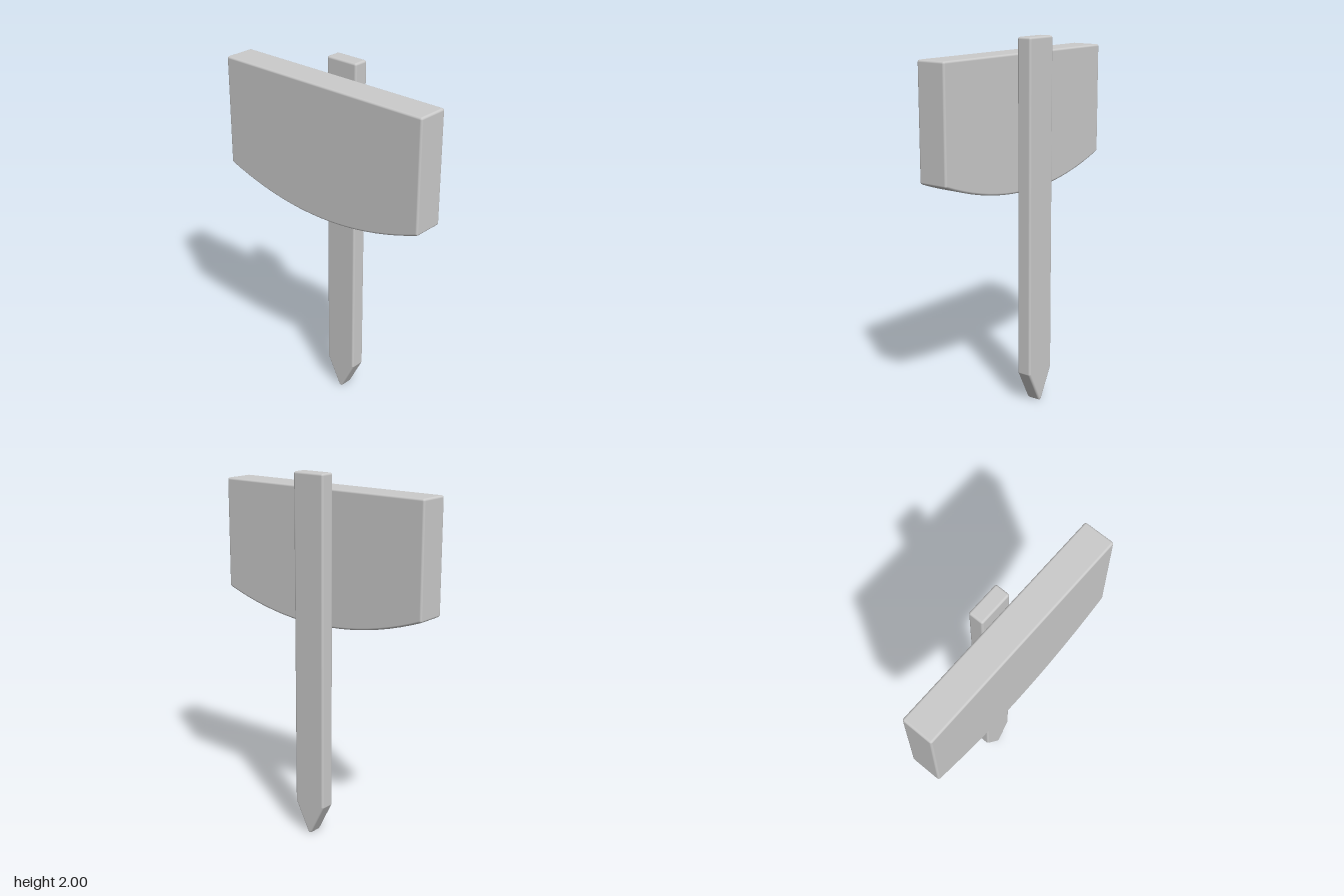
import * as THREE from 'three';

const V = (x, y, z) => new THREE.Vector3(x, y, z);
const material = new THREE.MeshStandardMaterial({ color: 0xcccccc });

// Convex solid with rounded edges: counter-clockwise outline, z range, edge radius.
// Returns a list of faces; each corner is { p: position, n: normal }.
function roundedSolid(outline, zBack, zFront, r) {
  const pts = outline.map(([x, y]) => new THREE.Vector2(x, y));
  const count = pts.length;
  const edgeNormal = (i) => {
    const d = pts[(i + 1) % count].clone().sub(pts[i]).normalize();
    return new THREE.Vector2(d.y, -d.x);
  };
  // Inset corners with the directions they are rounded along
  const spokes = [];
  pts.forEach((v, i) => {
    const a = edgeNormal((i + count - 1) % count), b = edgeNormal(i);
    const q = v.clone().addScaledVector(a.clone().add(b), -r / (1 + a.dot(b)));
    const steps = a.dot(b) > 0.94 ? [0.5] : [0, 0.25, 0.5, 0.75, 1];
    for (const t of steps) spokes.push({ q, n: a.clone().lerp(b, t).normalize() });
  });
  // Rings from the back face round to the front face
  const levels = [[-90, zBack + r], [-60, zBack + r], [-30, zBack + r], [0, zBack + r],
    [0, zFront - r], [30, zFront - r], [60, zFront - r], [90, zFront - r]];
  const rings = levels.map(([deg, z]) => {
    const c = Math.cos(deg * Math.PI / 180), s = Math.sin(deg * Math.PI / 180);
    return spokes.map(({ q, n }) => {
      const normal = V(n.x * c, n.y * c, s);
      return { p: V(q.x, q.y, z).addScaledVector(normal, r), n: normal };
    });
  });
  const faces = [rings[0].slice().reverse(), rings[rings.length - 1]];
  for (let k = 0; k + 1 < rings.length; k++) {
    for (let i = 0; i < spokes.length; i++) {
      const j = (i + 1) % spokes.length;
      faces.push([rings[k][i], rings[k][j], rings[k + 1][j], rings[k + 1][i]]);
    }
  }
  return faces;
}

// Cut a convex solid by a plane, keep the side below it and close the cut
function cut(faces, plane) {
  const kept = [], rim = [];
  for (const face of faces) {
    const out = [];
    face.forEach((a, i) => {
      const b = face[(i + 1) % face.length];
      const da = plane.distanceToPoint(a.p), db = plane.distanceToPoint(b.p);
      if (da <= 0) out.push(a);
      if ((da <= 0) !== (db <= 0)) {
        const t = da / (da - db);
        const p = a.p.clone().lerp(b.p, t);
        out.push({ p, n: a.n.clone().lerp(b.n, t).normalize() });
        rim.push(p);
      }
    });
    if (out.length > 2) kept.push(out);
  }
  if (rim.length > 2) {
    const centre = rim.reduce((s, p) => s.add(p), V(0, 0, 0)).divideScalar(rim.length);
    const n = plane.normal;
    const u = V(n.y, -n.x, 0).normalize(), w = n.clone().cross(u);
    const angle = (p) => {
      const d = p.clone().sub(centre);
      return Math.atan2(d.dot(w), d.dot(u));
    };
    rim.sort((a, b) => angle(a) - angle(b));
    const loop = rim.filter((p, i) => p.distanceTo(rim[(i + 1) % rim.length]) > 1e-6);
    if (loop.length > 2) kept.push(loop.map((p) => ({ p, n: n.clone() })));
  }
  return kept;
}

// Plane through three points, facing away from the point to keep
function planeKeeping(a, b, c, inside) {
  const plane = new THREE.Plane().setFromCoplanarPoints(a, b, c);
  return plane.distanceToPoint(inside) > 0 ? plane.negate() : plane;
}

function toMesh(name, faces) {
  const position = [], normal = [];
  for (const f of faces) {
    for (let i = 1; i + 1 < f.length; i++) {
      for (const c of [f[0], f[i], f[i + 1]]) {
        position.push(c.p.x, c.p.y, c.p.z);
        normal.push(c.n.x, c.n.y, c.n.z);
      }
    }
  }
  const geometry = new THREE.BufferGeometry();
  geometry.setAttribute('position', new THREE.Float32BufferAttribute(position, 3));
  geometry.setAttribute('normal', new THREE.Float32BufferAttribute(normal, 3));
  const mesh = new THREE.Mesh(geometry, material);
  mesh.name = name;
  return mesh;
}

// Split a solid into named pieces, each bounded by its own planes
function pieces(groupName, solid, parts) {
  const group = new THREE.Group();
  group.name = groupName;
  for (const [name, planes] of Object.entries(parts)) {
    group.add(toMesh(name, planes.reduce(cut, solid)));
  }
  return group;
}

export function createModel() {
  const model = new THREE.Group();
  model.name = 'signpost';

  // Board with a bowed lower edge, cracked into three pieces along one shared line
  const outline = [[0.652, 1.916], [-0.652, 1.916]];
  for (let i = 0; i <= 20; i++) {
    const t = i / 10 - 1;
    outline.push([0.652 * t, 1.18 + 0.126 * t * t]);
  }
  const board = roundedSolid(outline, -0.044, 0.131, 0.012);
  const a = V(0.11, 1.7, 0.131), b = V(-0.155, 1.2, -0.044);
  const top = V(0.24, 1.916, 0.131), low = V(-0.34, 1.21, 0.131), mid = V(-0.09, 1.19, 0.131);
  const onLeft = V(0.6, 1.6, 0.05), onRight = V(-0.6, 1.6, 0.05), inWedge = V(-0.16, 1.25, 0.131);
  model.add(pieces('board', board, {
    boardRight: [planeKeeping(a, b, top, onRight), planeKeeping(a, b, low, onRight)],
    boardWedge: [planeKeeping(a, b, low, inWedge), planeKeeping(a, b, mid, inWedge)],
    boardLeft: [planeKeeping(a, b, top, onLeft), planeKeeping(a, b, mid, onLeft)],
  }));

  // Pointed post behind the board, cracked across the shaft and the tip
  const post = roundedSolid(
    [[0.097, 2], [-0.097, 2], [-0.097, 0.175], [0, -0.013], [0.097, 0.175]],
    -0.131, -0.046, 0.012);
  const shaftCrack = [V(-0.097, 1.12, -0.046), V(0.097, 1.133, -0.046), V(0, 1.127, -0.131)];
  const tipCrack = [V(-0.097, 0.205, -0.046), V(0.05, 0.088, -0.046), V(0.05, 0.088, -0.131)];
  const head = V(0, 1.9, -0.09), shaft = V(0, 0.7, -0.09), tip = V(0, 0.02, -0.09);
  model.add(pieces('post', post, {
    postTop: [planeKeeping(...shaftCrack, head)],
    postShaft: [planeKeeping(...shaftCrack, shaft), planeKeeping(...tipCrack, shaft)],
    postTip: [planeKeeping(...tipCrack, tip)],
  }));

  return model;
}
